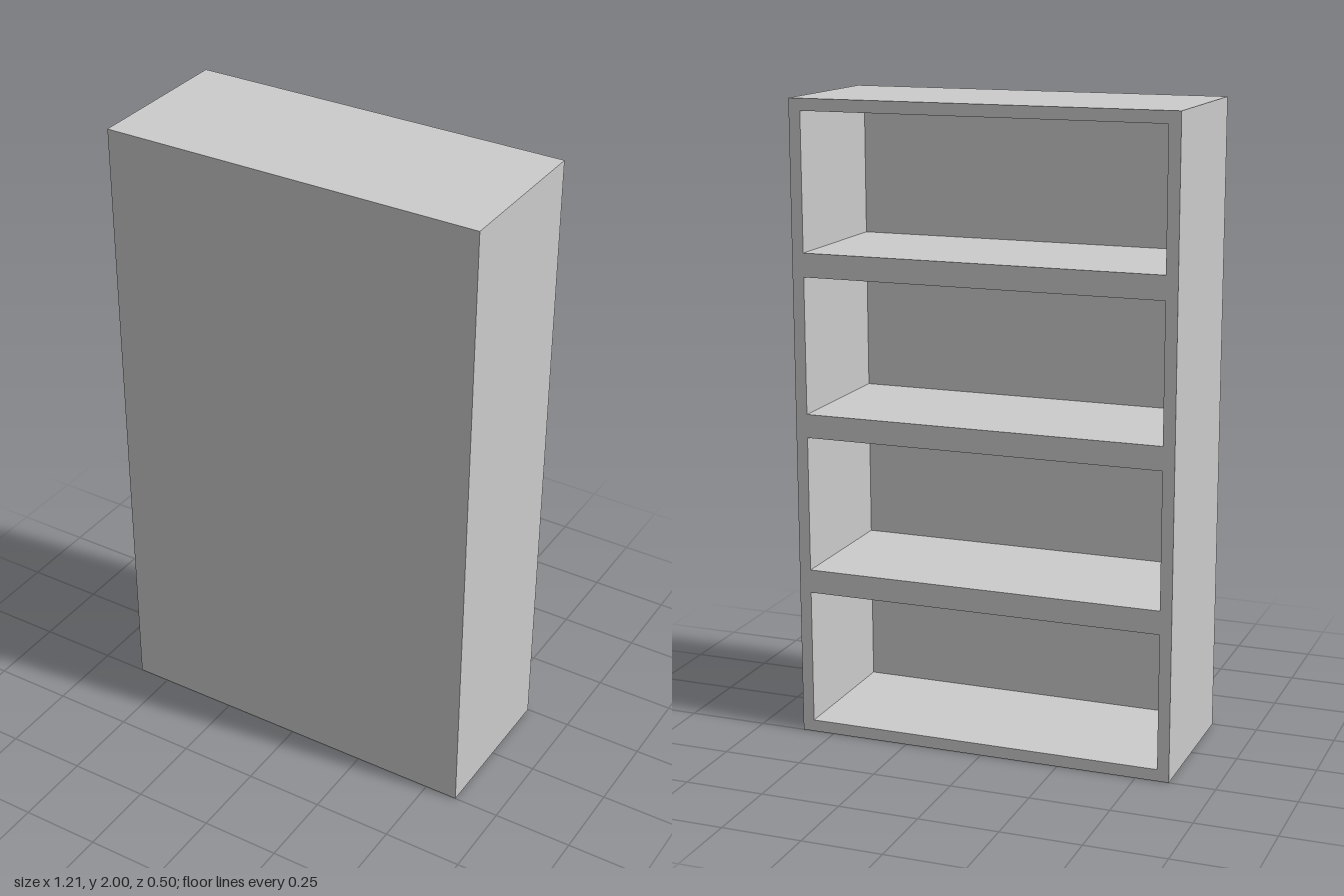
import * as THREE from 'three';

const W = 1.21, H = 2, D = 0.5; // overall size
const T = 0.037;                // board thickness
const BAYS = 4;

// Counter-clockwise rectangle, traced into a shape or a path
function rect(path, x0, y0, x1, y1) {
  path.moveTo(x0, y0);
  path.lineTo(x1, y0);
  path.lineTo(x1, y1);
  path.lineTo(x0, y1);
  path.closePath();
  return path;
}

export function createModel() {
  const model = new THREE.Group();
  model.name = 'shelfUnit';
  const material = new THREE.MeshStandardMaterial({ color: 0xcccccc, flatShading: true });

  // Carcass: sides, top, bottom and double-thickness shelves around equal bays
  const outline = rect(new THREE.Shape(), -W / 2, 0, W / 2, H);
  const bay = H / BAYS;
  for (let i = 0; i < BAYS; i++) {
    outline.holes.push(rect(new THREE.Path(), -W / 2 + T, i * bay + T, W / 2 - T, (i + 1) * bay - T));
  }
  const carcass = new THREE.Mesh(
    new THREE.ExtrudeGeometry(outline, { depth: D - T, bevelEnabled: false }), material);
  carcass.name = 'shelfFrame';
  carcass.position.z = -D / 2;
  model.add(carcass);

  // Closed panel on the +z side; the bays open towards -z
  const panel = new THREE.Mesh(new THREE.BoxGeometry(W, H, T), material);
  panel.name = 'closingPanel';
  panel.position.set(0, H / 2, D / 2 - T / 2);
  model.add(panel);

  return model;
}
